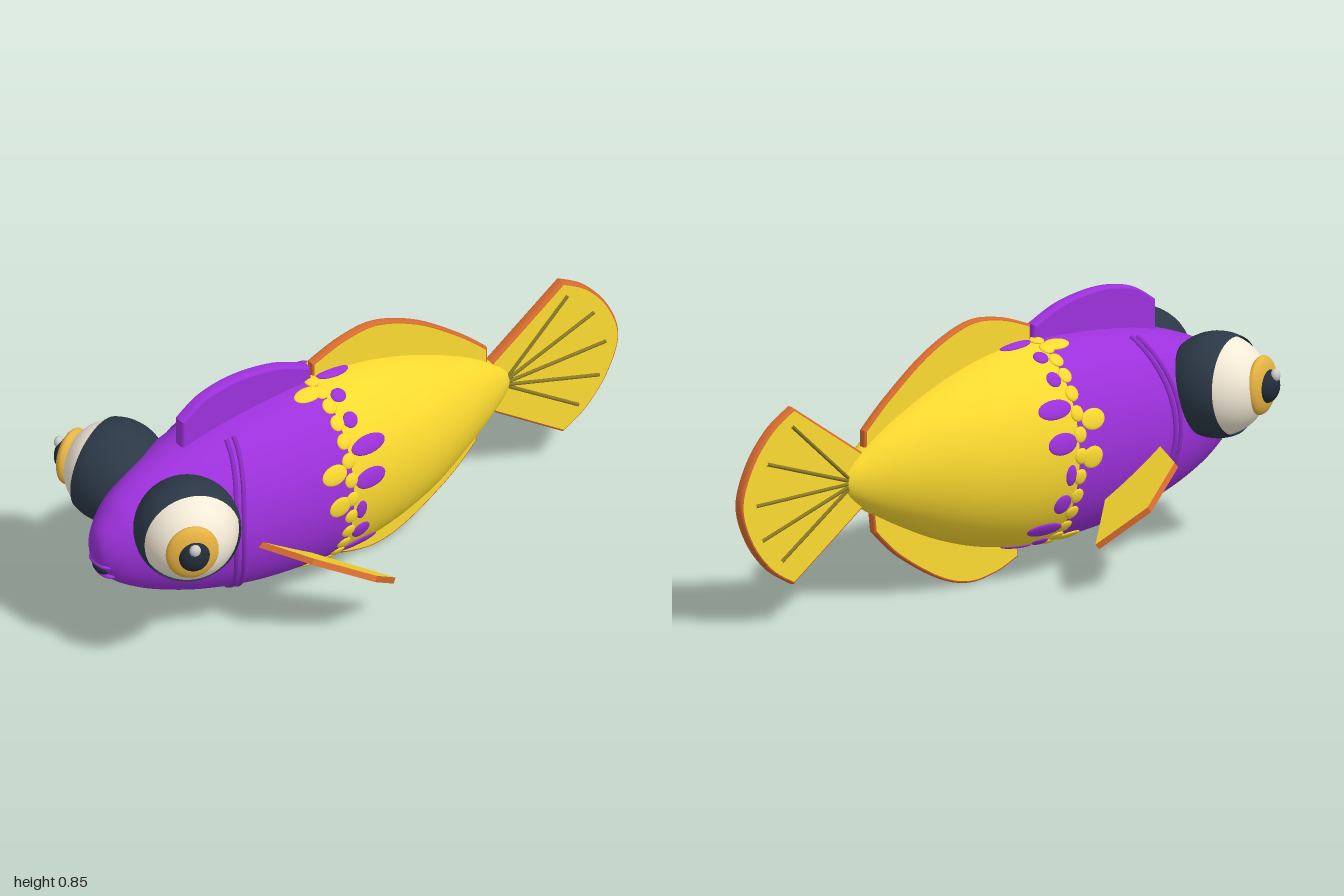
import * as THREE from 'three';

const mat = (color) => new THREE.MeshStandardMaterial({ color });
const PURPLE = mat(0x9d31dc), YELLOW = mat(0xfcda30), ORANGE = mat(0xd86c30), DARK = mat(0x2b3846);
const CREAM = mat(0xf3e9d6), GOLD = mat(0xe6b342), PUPIL = mat(0x222c38), WHITE = mat(0xffffff);
const RAY = mat(0x8a7a24), LIP = mat(0x8a2bc2);
DARK.side = THREE.DoubleSide;

// Body sections from nose to tail: z, top, bottom, half width
const SECTIONS = [
  [0.995, 0.42, 0.42, 0], [0.985, 0.48, 0.36, 0.04], [0.95, 0.535, 0.31, 0.075],
  [0.9, 0.585, 0.265, 0.105], [0.8, 0.64, 0.21, 0.155], [0.65, 0.69, 0.155, 0.205],
  [0.45, 0.725, 0.108, 0.235], [0.2, 0.74, 0.088, 0.242], [0, 0.725, 0.105, 0.235],
  [-0.2, 0.67, 0.163, 0.195], [-0.4, 0.58, 0.258, 0.115], [-0.52, 0.503, 0.33, 0.058],
  [-0.575, 0.455, 0.378, 0.025], [-0.595, 0.418, 0.418, 0],
];
const edges = new THREE.CatmullRomCurve3(SECTIONS.map(([z, t, b]) => new THREE.Vector3(t, b, z)), false, 'catmullrom');
const widths = new THREE.CatmullRomCurve3(SECTIONS.map(([z, , , w]) => new THREE.Vector3(w, 0, z)), false, 'catmullrom');

// Point on the body at curve parameter t, angle a (0 = left side, 90 degrees = back)
function skinAt(t, a) {
  const e = edges.getPoint(t), w = Math.max(0, widths.getPoint(t).x);
  return new THREE.Vector3(w * Math.cos(a), (e.x + e.y) / 2 + (e.x - e.y) / 2 * Math.sin(a), e.z);
}

// Curve parameter for a given z
function paramAt(z) {
  let lo = 0, hi = 1;
  for (let i = 0; i < 24; i++) {
    const mid = (lo + hi) / 2;
    if (edges.getPoint(mid).z > z) lo = mid; else hi = mid;
  }
  return (lo + hi) / 2;
}
const skin = (z, a) => skinAt(paramAt(z), a);

function skinNormal(z, a) {
  const d = 0.01;
  const around = skin(z, a + d).sub(skin(z, a - d));
  const along = skin(z + d, a).sub(skin(z - d, a));
  return around.cross(along).normalize();
}

function add(parent, name, geometry, material) {
  const mesh = new THREE.Mesh(geometry, material);
  mesh.name = name;
  parent.add(mesh);
  return mesh;
}

// Smooth hull between two curve parameters
function hull(t0, t1, rings) {
  const sides = 56, pos = [], index = [];
  for (let i = 0; i <= rings; i++) {
    for (let j = 0; j < sides; j++) {
      pos.push(...skinAt(t0 + (t1 - t0) * i / rings, j / sides * Math.PI * 2).toArray());
      if (i === rings) continue;
      const a = i * sides + j, b = i * sides + (j + 1) % sides;
      index.push(a, a + sides, b, b, a + sides, b + sides);
    }
  }
  const g = new THREE.BufferGeometry();
  g.setAttribute('position', new THREE.Float32BufferAttribute(pos, 3));
  g.setIndex(index);
  g.computeVertexNormals();
  return g;
}

// Flat upright fin drawn in the z-y plane, with rounded rim
function finGeometry(shape, thickness) {
  const size = 0.008, round = thickness * 0.35;
  const g = new THREE.ExtrudeGeometry(shape, {
    depth: thickness - 2 * round, curveSegments: 24, bevelThickness: round,
    bevelSize: size, bevelOffset: -size, bevelSegments: 3,
  });
  return g.translate(0, 0, round - thickness / 2).rotateY(-Math.PI / 2);
}

// Outline with a straight start, a curved run and a straight end
function outline(start, curve, end) {
  const s = new THREE.Shape();
  s.moveTo(...start);
  s.lineTo(...curve[0]);
  s.splineThru(curve.slice(1).map((p) => new THREE.Vector2(...p)));
  end.forEach((p) => s.lineTo(...p));
  s.closePath();
  return s;
}

// Flattened oval lying on the skin
function spot(parent, name, material, z, deg, rz, ra) {
  const a = deg * Math.PI / 180, n = skinNormal(z, a);
  const m = add(parent, name, new THREE.SphereGeometry(1, 20, 12), material);
  m.position.copy(skin(z, a));
  m.up.set(0, 0, 1);
  m.lookAt(m.position.clone().add(n));
  m.scale.set(ra, rz, 0.008);
}

function makeEye(side) {
  const eye = new THREE.Group();
  eye.name = side > 0 ? 'leftEye' : 'rightEye';
  eye.position.set(0.19 * side, 0.523, 0.775);
  // Dark socket wraps the inner side of the eyeball
  const open = Math.acos(0.065 / 0.167);
  const socket = add(eye, 'eyeSocket', new THREE.SphereGeometry(0.167, 48, 28, 0, Math.PI * 2, open, Math.PI - open), DARK);
  socket.quaternion.setFromUnitVectors(new THREE.Vector3(0, 1, 0), new THREE.Vector3(0.93 * side, 0.07, 0.36).normalize());
  add(eye, 'eyeball', new THREE.SphereGeometry(0.16, 48, 32), CREAM);
  const disc = (name, material, x, y, z, depth, height, width) => {
    const m = add(eye, name, new THREE.SphereGeometry(1, 36, 20), material);
    m.position.set(x * side, y, z);
    m.rotation.y = -0.4 * side;
    m.scale.set(depth, height, width);
  };
  disc('iris', GOLD, 0.125, 0.012, 0.072, 0.032, 0.094, 0.084);
  disc('pupil', PUPIL, 0.142, 0.012, 0.078, 0.04, 0.054, 0.05);
  disc('eyeHighlight', WHITE, 0.168, 0.05, 0.092, 0.015, 0.02, 0.018);
  return eye;
}

// Swept-back paddle fin: u runs outward, v runs forward along the root
function makeSideFin(side) {
  const pts = [[-0.05, 0.265], [-0.01, 0.275], [0.165, 0.206], [0.253, 0.005], [0.16, -0.171], [0, 0], [-0.05, 0.05]];
  const g = new THREE.ExtrudeGeometry(new THREE.Shape(pts.map((p) => new THREE.Vector2(...p))), { depth: 0.02, bevelEnabled: false });
  const u = new THREE.Vector3(0.97 * side, 0.202, -0.132).normalize();
  const v = new THREE.Vector3(0, 0.546, 0.838).normalize();
  g.translate(0, 0, -0.01).applyMatrix4(new THREE.Matrix4().makeBasis(u, v, u.clone().cross(v)));
  const fin = new THREE.Mesh(g, [YELLOW, ORANGE]);
  fin.name = side > 0 ? 'leftSideFin' : 'rightSideFin';
  fin.position.set(0.23 * side, 0.225, 0.29);
  return fin;
}

export function createModel() {
  const fish = new THREE.Group();
  fish.name = 'fish';

  // Two-tone body
  const seam = paramAt(0.175);
  add(fish, 'frontBody', hull(0, seam, 44), PURPLE);
  add(fish, 'rearBody', hull(seam, 1, 40), YELLOW);

  // Spots along the colour change: z, angle, length, width
  const purpleSpots = [
    [0.1, 85, 0.06, 0.024], [0.135, 65, 0.026, 0.024], [0.135, 47, 0.026, 0.026], [0.1, 29, 0.064, 0.031],
    [0.11, 9, 0.056, 0.035], [0.145, -10, 0.02, 0.035], [0.13, -28, 0.032, 0.035], [0.1, -48, 0.066, 0.03],
    [0.135, -66, 0.028, 0.026], [0.1, -84, 0.06, 0.024],
  ];
  const yellowSpots = [[0.225, 74, 0.05, 0.027], [0.24, 19, 0.046, 0.034], [0.228, -2, 0.04, 0.036], [0.245, -66, 0.045, 0.03]];
  for (const flip of [false, true]) {
    const turn = (deg) => (flip ? 180 - deg : deg);
    for (const [z, a, l, w] of purpleSpots) spot(fish, 'purpleSpot', PURPLE, z, turn(a), l, w);
    for (const [z, a, l, w] of yellowSpots) spot(fish, 'yellowSpot', YELLOW, z, turn(a), l, w);
    for (let a = -84; a <= 84; a += 12) spot(fish, 'seamBead', YELLOW, 0.182, turn(a), 0.024, 0.026);

    // Double gill ridge on each flank
    for (const shift of [0, 0.026]) {
      const path = [];
      for (let a = -70; a <= 70; a += 10) {
        const r = turn(a) * Math.PI / 180;
        path.push(skin(0.605 - shift - 0.07 * Math.sin(r) ** 2, r));
      }
      add(fish, 'gillRidge', new THREE.TubeGeometry(new THREE.CatmullRomCurve3(path), 48, 0.008, 8), LIP);
    }
  }

  // Upright fins
  const frontDorsal = outline([0.67, 0.64], [[0.67, 0.78], [0.58, 0.835], [0.45, 0.855], [0.3, 0.835], [0.18, 0.785]], [[0.17, 0.7]]);
  add(fish, 'frontBackFin', finGeometry(frontDorsal, 0.042), PURPLE);
  const rearDorsal = outline([0.17, 0.7], [[0.17, 0.79], [0.05, 0.832], [-0.08, 0.84], [-0.24, 0.775], [-0.4, 0.66], [-0.5, 0.57]],
    [[-0.5, 0.46], [-0.3, 0.55], [0, 0.68]]);
  add(fish, 'rearBackFin', finGeometry(rearDorsal, 0.03), [YELLOW, ORANGE]);
  const belly = outline([0.12, 0.14], [[0.12, 0.05], [0.03, 0.015], [-0.08, 0.003], [-0.2, 0.04], [-0.36, 0.14], [-0.46, 0.235]],
    [[-0.47, 0.34], [-0.2, 0.22]]);
  add(fish, 'bellyFin', finGeometry(belly, 0.03), [YELLOW, ORANGE]);

  // Tail fan with rays on both faces
  const tail = outline([-0.48, 0.485], [[-0.787, 0.7], [-0.88, 0.64], [-0.96, 0.54], [-1, 0.415], [-0.96, 0.29], [-0.88, 0.19], [-0.787, 0.13]],
    [[-0.48, 0.345]]);
  add(fish, 'tailFin', finGeometry(tail, 0.036), [YELLOW, ORANGE]);
  for (const [z, y] of [[-0.8, 0.645], [-0.9, 0.54], [-0.945, 0.412], [-0.92, 0.295], [-0.84, 0.215]]) {
    for (const side of [-1, 1]) {
      const root = new THREE.Vector3(0.02 * side, 0.415 + (y - 0.415) * 0.08, -0.57);
      const ray = new THREE.LineCurve3(root, new THREE.Vector3(0.02 * side, y, z));
      add(fish, 'tailRay', new THREE.TubeGeometry(ray, 1, 0.006, 8), RAY);
    }
  }

  for (const side of [1, -1]) fish.add(makeEye(side), makeSideFin(side));

  // Mouth with two lips
  const oval = (name, material, y, z, rx, ry, rz) => {
    const m = add(fish, name, new THREE.SphereGeometry(1, 24, 16), material);
    m.position.set(0, y, z);
    m.scale.set(rx, ry, rz);
  };
  oval('mouth', PUPIL, 0.348, 0.968, 0.037, 0.02, 0.018);
  oval('upperLip', PURPLE, 0.37, 0.968, 0.052, 0.012, 0.025);
  oval('lowerLip', PURPLE, 0.325, 0.95, 0.046, 0.012, 0.025);
  return fish;
}
